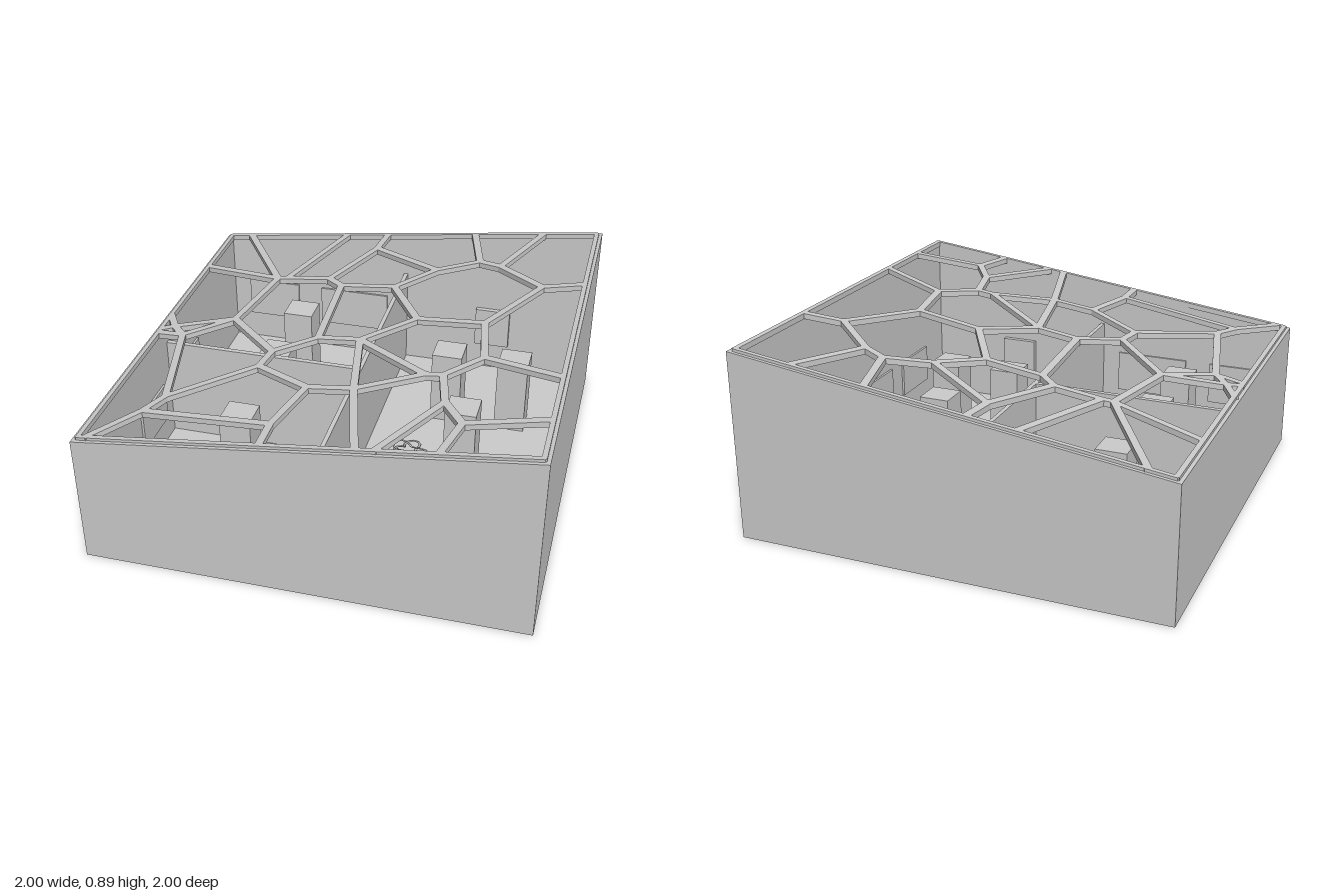
import * as THREE from 'three';

// height of the sloping top at a given x
const slope = (x) => 0.75 + 0.13 * x;

export function createModel() {
  const model = new THREE.Group();
  const mat = new THREE.MeshStandardMaterial({ color: 0xcccccc });

  function add(name, geo, parent = model) {
    const mesh = new THREE.Mesh(geo, mat);
    mesh.name = name;
    parent.add(mesh);
    return mesh;
  }
  function group(name) {
    const g = new THREE.Group();
    g.name = name;
    model.add(g);
    return g;
  }
  // box given by its minimum and maximum corners
  function block(name, [x0, y0, z0], [x1, y1, z1], parent) {
    const geo = new THREE.BoxGeometry(x1 - x0, y1 - y0, z1 - z0);
    geo.translate((x0 + x1) / 2, (y0 + y1) / 2, (z0 + z1) / 2);
    return add(name, geo, parent);
  }
  // change vertex heights by a rule, keeping faces flat
  function reshape(geo, rule) {
    const p = geo.attributes.position;
    for (let i = 0; i < p.count; i++) p.setY(i, rule(p.getX(i), p.getY(i)));
    geo.computeVertexNormals();
  }

  // floor and outer walls, cut along the slope
  block('floor', [-1, 0, -1], [1, 0.02, 1]);
  const walls = group('outerWalls');
  const t = 0.97;
  for (const [a, b] of [
    [[-1, 0, -1], [1, 1, -t]],
    [[-1, 0, t], [1, 1, 1]],
    [[-1, 0, -t], [-t, 1, t]],
    [[t, 0, -t], [1, 1, t]],
  ]) {
    const wall = block('outerWall', a, b, walls);
    reshape(wall.geometry, (x, y) => (y > 0.5 ? slope(x) : 0));
  }

  // inner partitions
  const partitions = group('partitions');
  block('longPartition', [-0.01, 0.02, -t], [0.01, 0.53, t], partitions);
  block('crossPartition', [-t, 0.02, -0.012], [-0.01, 0.53, 0.012], partitions);

  // display plinths
  const plinths = group('plinths');
  for (const [x, z] of [
    [-0.5, -0.69], [-0.5, -0.27], [-0.5, 0.31], [-0.5, 0.73],
    [0.34, -0.48], [0.67, -0.48], [0.34, 0.48], [0.67, 0.48], [0.5, 0],
  ]) {
    block('plinth', [x - 0.075, 0.02, z - 0.075], [x + 0.075, 0.4, z + 0.075], plinths);
  }

  // wall panels: on the side walls, then on the front and back walls
  const panels = group('wallPanels');
  for (const [x, z0, z1] of [
    [-0.965, -0.36, -0.08], [-0.965, 0.1, 0.38],
    [0.965, -0.86, -0.55], [0.965, -0.35, -0.1], [0.965, 0.06, 0.36], [0.965, 0.48, 0.76],
  ]) {
    block('sidePanel', [x - 0.006, 0.15, z0], [x + 0.006, 0.34, z1], panels);
  }
  for (const s of [-1, 1]) {
    for (const [x0, x1, d] of [[-0.88, -0.6, 0.01], [-0.47, -0.1, 0.01], [0.39, 0.57, 0.025]]) {
      const z = s * (t - d / 2);
      block('endPanel', [x0, 0.17, z - d / 2], [x1, 0.38, z + d / 2], panels);
    }
  }

  // small twisted sculpture
  const knot = new THREE.TorusKnotGeometry(0.04, 0.005, 48, 5, 2, 5);
  knot.scale(1.5, 1, 0.5);
  knot.translate(0.24, 0.08, -0.03);
  add('sculpture', knot);

  // roof lattice: sloping beams joined at nodes
  const lattice = group('roofLattice');
  function beam(name, [x0, z0], [x1, z1], width = 0.034) {
    const dx = x1 - x0, dz = z1 - z0;
    const geo = new THREE.BoxGeometry(Math.hypot(dx, dz) + 0.012, 0.026, width);
    geo.rotateY(-Math.atan2(dz, dx));
    geo.translate((x0 + x1) / 2, 0, (z0 + z1) / 2);
    reshape(geo, (x, y) => y + slope(x));
    add(name, geo, lattice);
  }
  const r = 0.973;
  const corners = [[-r, -r], [r, -r], [r, r], [-r, r]];
  corners.forEach((c, i) => beam('rimBeam', c, corners[(i + 1) % 4], 0.022));

  const nodes = [
    [-0.55, -0.47], [-0.28, -0.47], [-0.12, -0.81], [0.24, -0.57], [0.44, -0.66],
    [0.55, -0.61], [0.78, -0.4], [0.57, -0.05], [0.25, -0.08], [0.07, -0.39],
    [-0.2, -0.4], [-0.17, 0.11], [0.03, 0.12], [0.39, 0.4], [0.47, 0.4],
    [0.62, 0.25], [0.52, 0.61], [0.62, 0.76], [0.11, 0.53], [-0.1, 0.53],
    [-0.17, 0.82], [-0.37, 0.37], [-0.35, 0.24], [-0.63, -0.05], [-0.84, 0.11],
    [-0.71, 0.64], [-0.77, 0.76], [-0.91, 0.03], [-0.5, -0.475],
  ];
  const chains = [
    [0, 28, 1, 2, 3, 4, 5, 6, 7, 8, 9, 3], [9, 10, 1], [10, 11, 12, 8],
    [12, 13, 14, 15, 7], [12, 18, 13], [14, 16, 17], [18, 19, 20],
    [19, 21, 22, 11], [22, 23, 0], [23, 24, 25, 21], [25, 26, 20], [23, 27, 24],
  ];
  for (const chain of chains) {
    for (let i = 1; i < chain.length; i++) beam('beam', nodes[chain[i - 1]], nodes[chain[i]]);
  }
  // beams from a node out to the rim
  for (const [n, x, z] of [
    [0, -r, -0.6], [0, -0.86, -r], [28, -0.32, -r], [2, -0.1, -r], [4, 0.36, -r],
    [5, 0.71, -r], [6, r, -0.43], [15, r, 0.39], [17, r, 0.71], [17, 0.57, r],
    [16, 0.31, r], [18, 0.23, r], [20, -0.17, r], [26, -0.94, r],
    [24, -r, 0.09], [27, -r, -0.08], [27, -r, 0.06],
  ]) {
    beam('edgeBeam', nodes[n], [x, z]);
  }
  return model;
}
